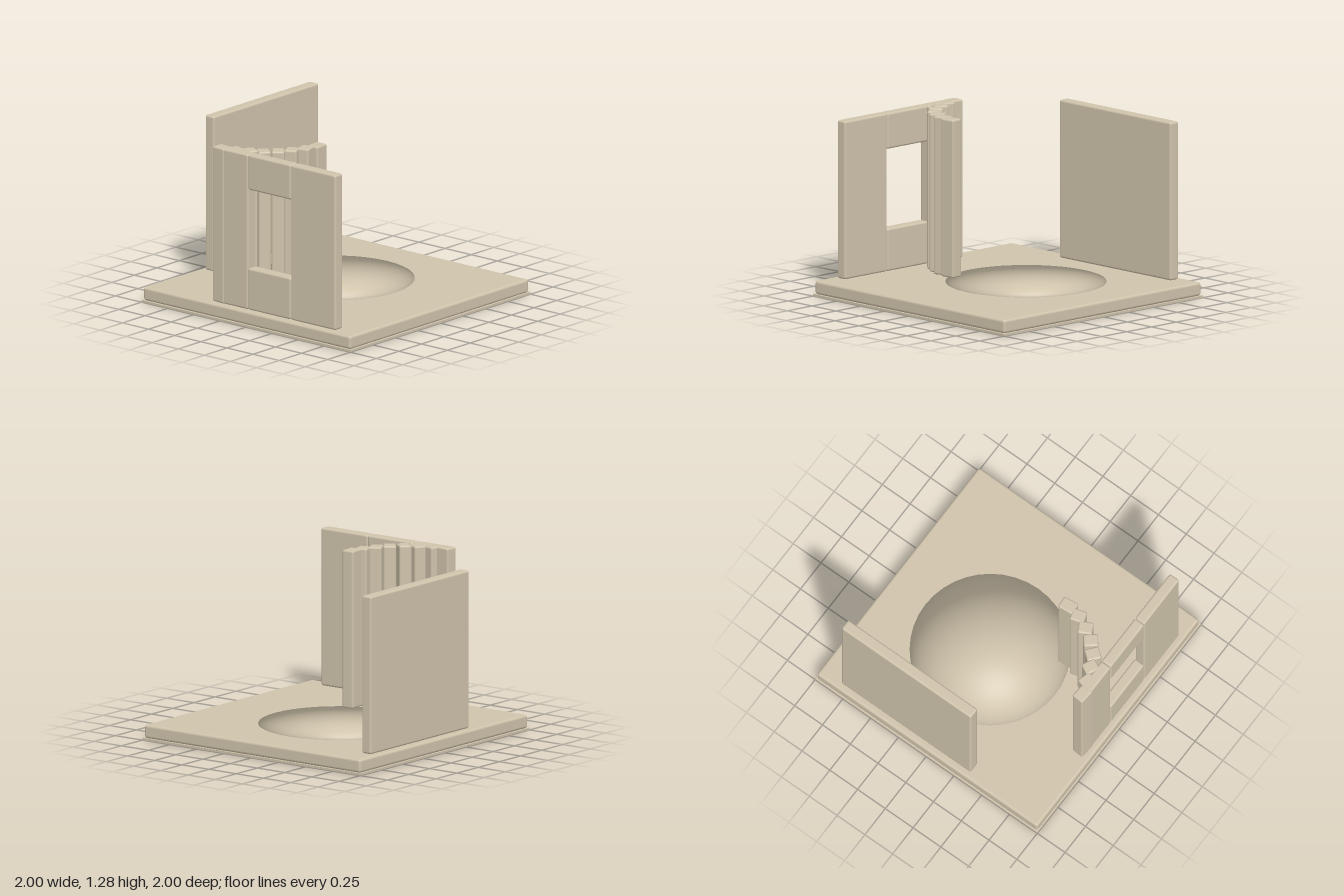
import * as THREE from 'three';
import { RoundedBoxGeometry } from 'three/addons/geometries/RoundedBoxGeometry.js';

export function createModel() {
  const model = new THREE.Group();
  model.name = 'roomModel';
  const stone = new THREE.MeshStandardMaterial({ color: 0xcfc3ab });
  stone.name = 'warm stone';

  const add = (name, geometry, x, y, z, parent = model) => {
    const mesh = new THREE.Mesh(geometry, stone);
    mesh.name = name;
    mesh.position.set(x, y, z);
    parent.add(mesh);
    return mesh;
  };
  // Rounded block given by its limits on each axis
  const block = (name, [x0, x1], [y0, y1], [z0, z1], r = 0.016) =>
    add(name, new RoundedBoxGeometry(x1 - x0, y1 - y0, z1 - z0, 3, r),
      (x0 + x1) / 2, (y0 + y1) / 2, (z0 + z1) / 2);

  const floorY = 0.115, topY = 1.285;
  const full = [floorY, topY];

  // Floor: thin ground sheet with a rounded slab on it
  add('groundSheet', new THREE.BoxGeometry(2, 0.016, 2), 0, 0.008, 0);
  block('floorSlab', [-0.992, 0.992], [0.014, floorY], [-0.992, 0.992], 0.02);

  // Round rug: a hemisphere pressed almost flat, keeping its soft round normals
  const rug = new THREE.SphereGeometry(0.585, 40, 16, 0, Math.PI * 2, 0, Math.PI / 2);
  const p = rug.attributes.position;
  for (let i = 0; i < p.count; i++) p.setY(i, p.getY(i) * 0.008);
  add('roundRug', rug, 0.09, floorY + 0.001, -0.095);

  // Back wall
  block('backWall', [-0.36, 0.805], full, [-0.945, -0.86]);

  // Side wall with a window opening
  const sideX = [-0.947, -0.862];
  block('sideWallFront', sideX, full, [0.382, 0.81]);
  block('windowLintel', sideX, [1.02, topY], [-0.028, 0.382]);
  block('windowSill', sideX, [floorY, 0.43], [-0.028, 0.382]);
  block('sideWallBack', sideX, full, [-0.27, -0.028]);

  // Curved screen of upright slats, each turned a little further than the last
  const screen = new THREE.Group();
  screen.name = 'curvedScreen';
  model.add(screen);
  const spots = [
    [-0.9, -0.31], [-0.87, -0.21], [-0.825, -0.11], [-0.78, -0.02],
    [-0.705, 0.055], [-0.617, 0.11], [-0.52, 0.155], [-0.413, 0.175],
  ];
  spots.forEach(([x, z], i) => {
    const length = i === 0 || i === 7 ? 0.12 : 0.107;
    const slat = add('screenSlat' + (i + 1),
      new RoundedBoxGeometry(length, topY - floorY, 0.094, 3, 0.014),
      x, (floorY + topY) / 2, z, screen);
    slat.rotation.y = -THREE.MathUtils.degToRad(95 + (80 / 7) * i);
  });

  return model;
}
